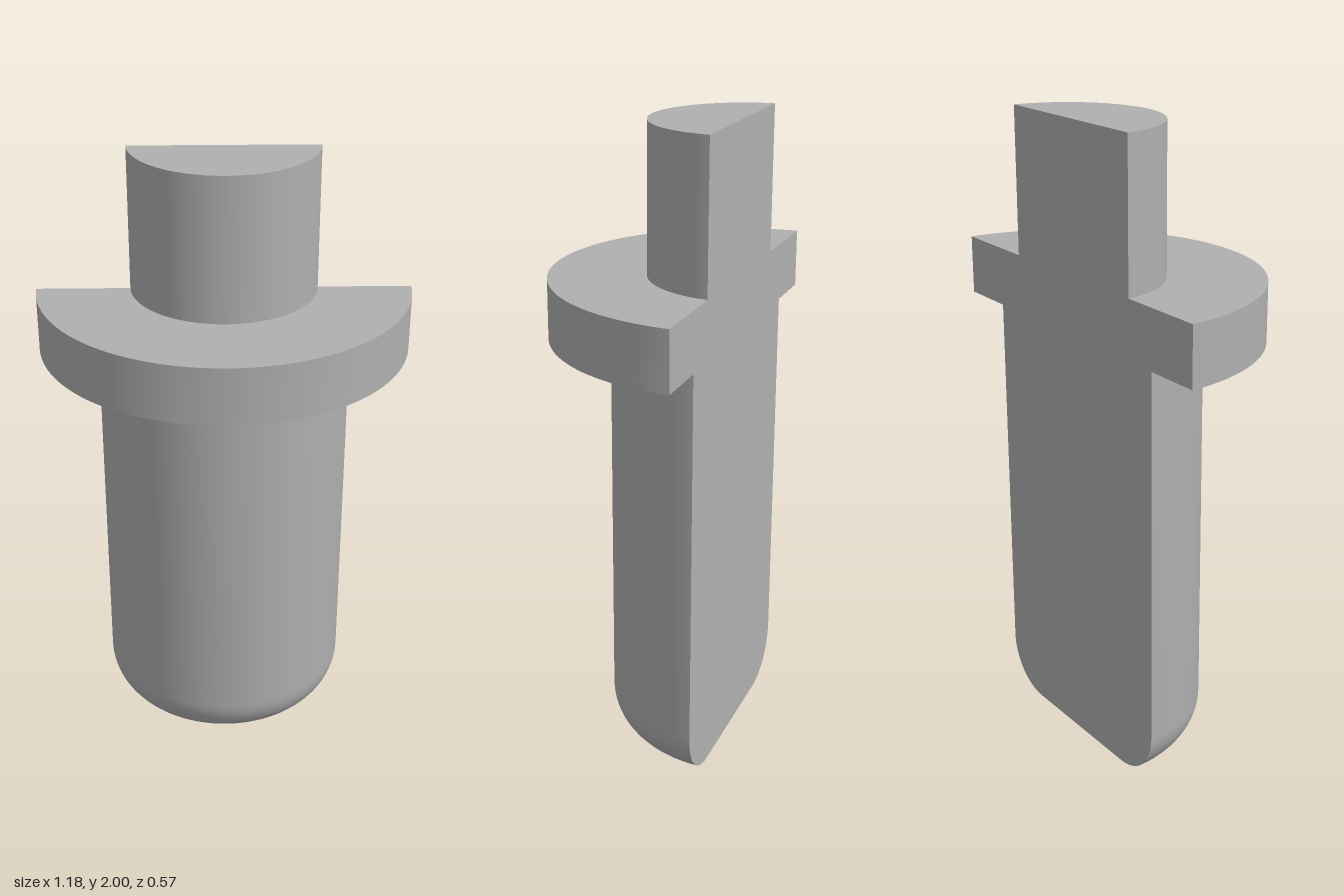
import * as THREE from 'three';
import { toCreasedNormals } from 'three/addons/utils/BufferGeometryUtils.js';

const CUT = 0.018;      // distance of the flat cut in front of the turning axis
const AXIS_Z = -0.305;  // position of the turning axis
const SEGMENTS = 72;

const grey = new THREE.MeshStandardMaterial({ color: 0xb0b0b0 });
grey.name = 'grey';

// Turns a profile of [radius, y] points (bottom to top) and slices it flat at z = CUT
function slicedTurning(profile) {
  const positions = [];
  const a = new THREE.Vector3(), b = new THREE.Vector3();
  const triangle = (p, q, r) => {
    const area = a.subVectors(q, p).cross(b.subVectors(r, p)).length();
    if (area > 1e-9) for (const v of [p, q, r]) positions.push(v.x, v.y, v.z);
  };
  const quad = (p, q, r, s) => { triangle(p, q, r); triangle(p, r, s); };

  const rings = profile.map(([radius, y]) => {
    const half = Math.acos(Math.min(1, CUT / radius));
    return Array.from({ length: SEGMENTS + 1 }, (_, j) => {
      const t = half * (2 * j / SEGMENTS - 1);
      return new THREE.Vector3(radius * Math.sin(t), y, radius * Math.cos(t));
    });
  });
  for (let i = 0; i < rings.length - 1; i++) {
    const low = rings[i], high = rings[i + 1];
    // Turned surface
    for (let j = 0; j < SEGMENTS; j++) quad(low[j], low[j + 1], high[j + 1], high[j]);
    // Flat cut at the back
    quad(low[SEGMENTS], low[0], high[0], high[SEGMENTS]);
  }
  const geometry = new THREE.BufferGeometry();
  geometry.setAttribute('position', new THREE.Float32BufferAttribute(positions, 3));
  return toCreasedNormals(geometry, 0.4);
}

export function createModel() {
  const group = new THREE.Group();
  group.name = 'slicedPin';
  const add = (name, profile) => {
    const mesh = new THREE.Mesh(slicedTurning(profile), grey);
    mesh.name = name;
    mesh.position.z = AXIS_Z;
    group.add(mesh);
  };

  // Body with a rounded bottom edge
  const radius = 0.405, fillet = 0.165, steps = 14;
  const body = [[CUT, 0]];
  for (let i = 0; i <= steps; i++) {
    const t = (i / steps) * Math.PI / 2;
    body.push([radius - fillet + fillet * Math.sin(t), fillet - fillet * Math.cos(t)]);
  }
  body.push([radius, 1.355]);
  add('body', body);

  // Wide collar
  add('collar', [[radius, 1.355], [0.592, 1.355], [0.592, 1.54], [0.296, 1.54]]);

  // Narrow upper shaft
  add('shaft', [[0.296, 1.54], [0.296, 2], [CUT, 2]]);

  return group;
}
